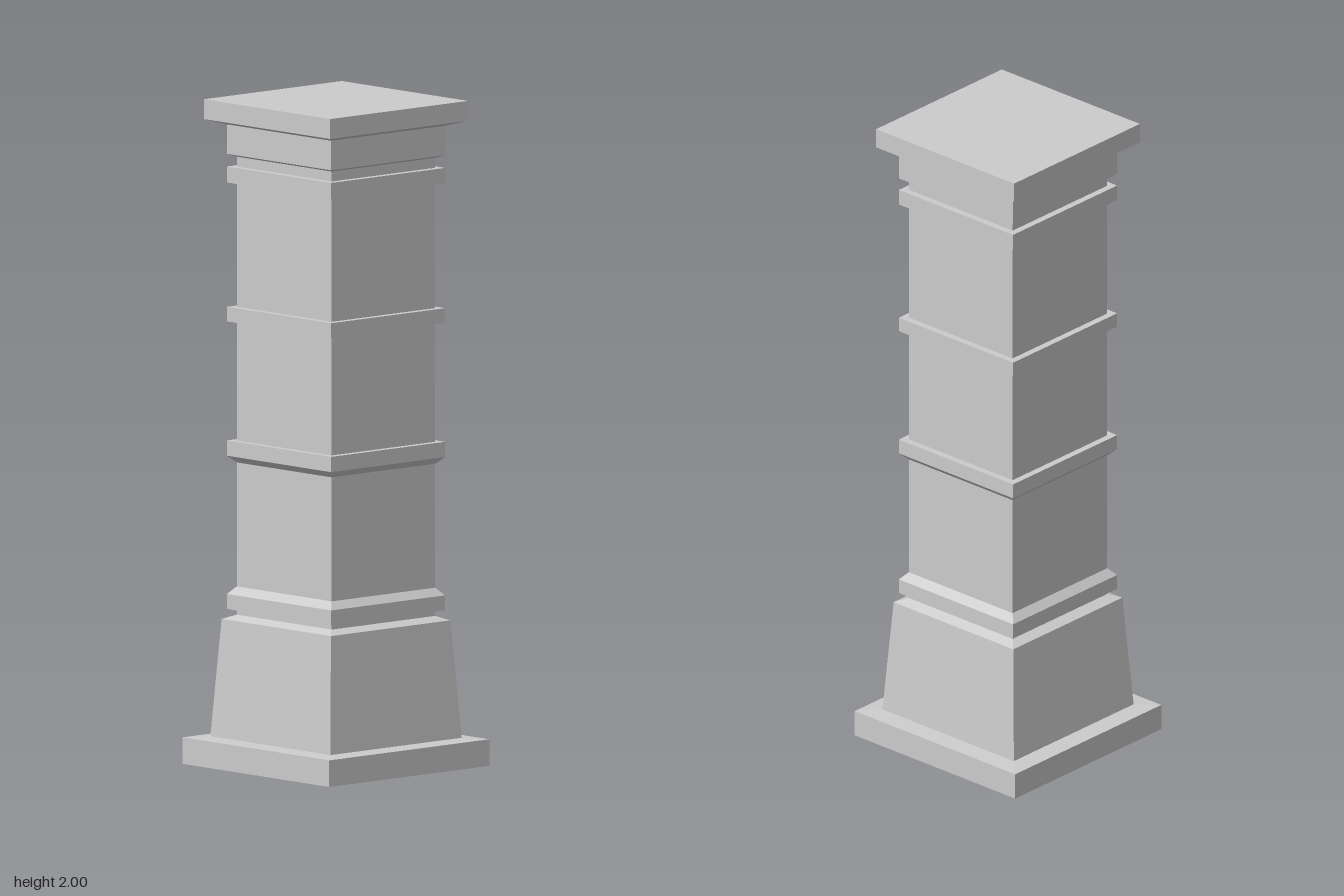
import * as THREE from 'three';

const material = new THREE.MeshStandardMaterial({ color: 0xcccccc, flatShading: true });

// Square turned solid: profile is [halfWidth, y] from bottom to top, capped at both ends
function squareSolid(name, profile) {
  const points = [[0, profile[0][1]], ...profile, [0, profile.at(-1)[1]]]
    .map(([half, y]) => new THREE.Vector2(half * Math.SQRT2, y));
  const mesh = new THREE.Mesh(new THREE.LatheGeometry(points, 4, Math.PI / 4), material);
  mesh.name = name;
  return mesh;
}

export function createModel() {
  const group = new THREE.Group();
  group.name = 'squarePillar';
  const shaft = 0.209, band = 0.23;

  const parts = {
    // Foot slab with a slightly sloped top
    plinth: [[0.323, 0], [0.323, 0.08], [0.265, 0.084]],
    // Tapered pedestal
    pedestal: [[0.265, 0.08], [0.241, 0.437], [shaft, 0.45]],
    shaft: [[shaft, 0.44], [shaft, 1.85]],
    // Rings around the shaft
    lowerBand: [[shaft, 0.467], [band, 0.467], [band, 0.512], [shaft, 0.535]],
    middleBand: [[shaft, 0.908], [band, 0.928], [band, 0.974], [shaft, 0.974]],
    upperBand: [[shaft, 1.332], [band, 1.332], [band, 1.376], [shaft, 1.376]],
    neckBand: [[shaft, 1.75], [band, 1.75], [band, 1.798], [shaft, 1.798]],
    // Capital block flaring out to the top slab
    capital: [[shaft, 1.828], [band, 1.836], [band, 1.925], [0.278, 1.94]],
    capSlab: [[0.278, 1.94], [0.278, 2]],
  };
  for (const [name, profile] of Object.entries(parts)) group.add(squareSolid(name, profile));
  return group;
}
